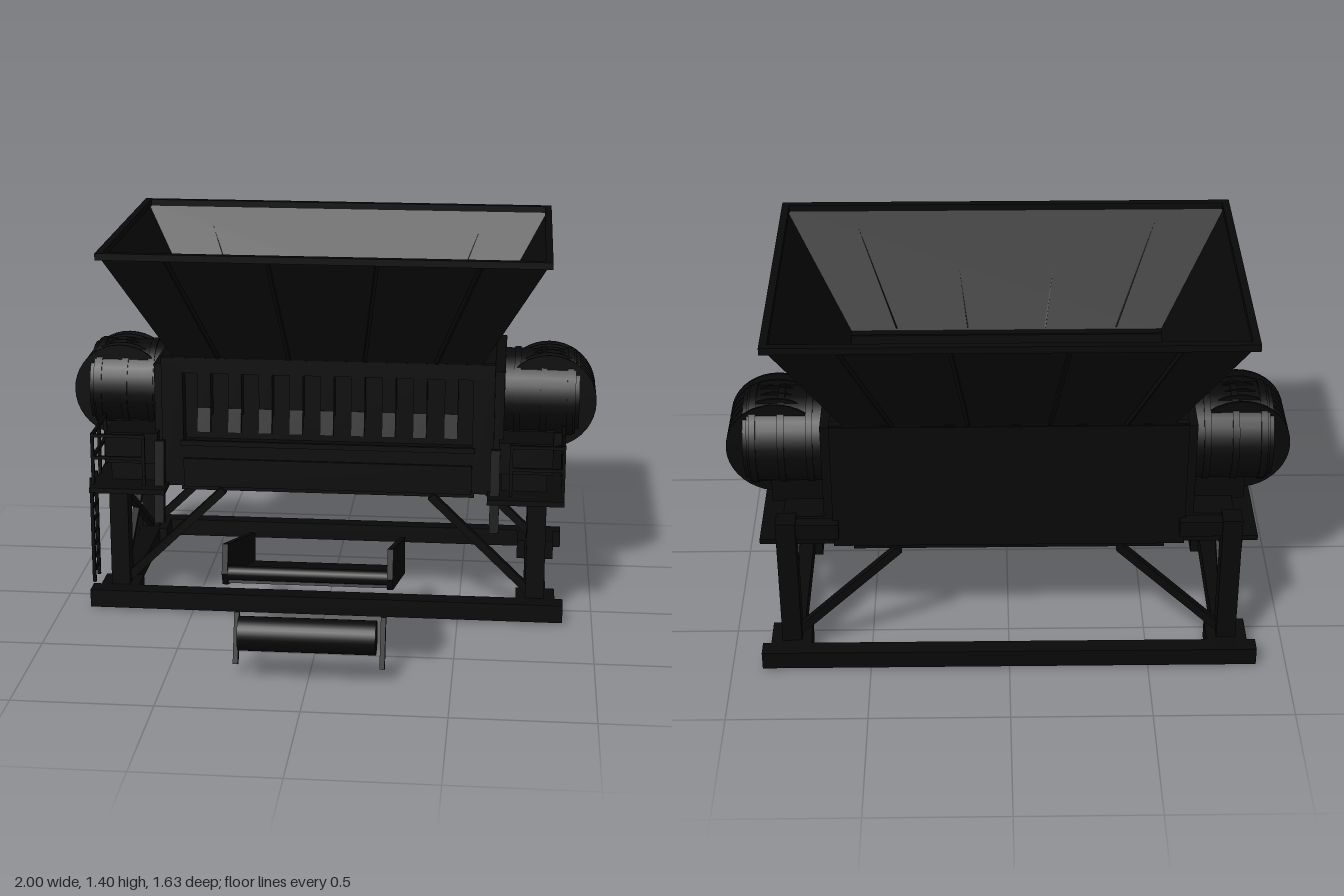
import * as THREE from 'three';

const black = new THREE.MeshStandardMaterial({ color: 0x090909, side: THREE.DoubleSide });
black.name = 'black';
const MID_Z = -0.285; // centre line of the machine body

export function createModel() {
  const model = new THREE.Group();
  const add = (name, geo, parent = model) => {
    const m = new THREE.Mesh(geo, black);
    m.name = name;
    parent.add(m);
    return m;
  };
  // box from its limits on each axis
  const box = (name, x0, x1, y0, y1, z0, z1, parent) => {
    const m = add(name, new THREE.BoxGeometry(x1 - x0, y1 - y0, z1 - z0), parent);
    m.position.set((x0 + x1) / 2, (y0 + y1) / 2, (z0 + z1) / 2);
    return m;
  };
  // rectangular bar between two points
  const bar = (name, a, b, w, d = w, parent = model) => {
    const p = new THREE.Vector3(...a), q = new THREE.Vector3(...b);
    const m = add(name, new THREE.BoxGeometry(w, d, p.distanceTo(q)), parent);
    m.position.copy(p).add(q).multiplyScalar(0.5);
    m.lookAt(q);
    return m;
  };
  // cylinder lying along x
  const rod = (name, x0, x1, r, y, z, parent, sides = 32) => {
    const m = add(name, new THREE.CylinderGeometry(r, r, x1 - x0, sides), parent);
    m.rotation.z = Math.PI / 2;
    m.position.set((x0 + x1) / 2, y, z);
    return m;
  };

  // Hopper: open four-sided funnel
  const funnel = new THREE.CylinderGeometry(Math.SQRT2, Math.SQRT2, 0.43, 4, 1, true).rotateY(Math.PI / 4).toNonIndexed();
  const pos = funnel.attributes.position;
  for (let i = 0; i < pos.count; i++) {
    const top = pos.getY(i) > 0;
    pos.setX(i, pos.getX(i) * (top ? 0.805 : 0.565));
    pos.setZ(i, pos.getZ(i) * (top ? 0.51 : 0.32) + (top ? -0.29 : MID_Z));
  }
  funnel.computeVertexNormals();
  add('hopper', funnel).position.y = 1.175;
  for (const s of [-1, 1]) {
    box('hopperRimLong', -0.815, 0.815, 1.375, 1.4, -0.29 + s * 0.512 - 0.013, -0.29 + s * 0.512 + 0.013);
    box('hopperRimShort', s * 0.802 - 0.013, s * 0.802 + 0.013, 1.375, 1.4, -0.8, 0.22);
  }
  for (const t of [-0.72, -0.25, 0.25, 0.72]) {
    bar('hopperRib', [t * 0.56, 0.975, 0.048], [t * 0.78, 1.375, 0.223], 0.012, 0.012);
    bar('hopperRib', [t * 0.56, 0.975, -0.618], [t * 0.78, 1.375, -0.803], 0.012, 0.012);
  }

  // Cutting chamber with a recessed front window
  box('chamberBase', -0.55, 0.55, 0.455, 0.64, -0.61, 0.035);
  box('chamber', -0.62, 0.62, 0.47, 0.965, -0.615, -0.03);
  box('windowHeader', -0.62, 0.62, 0.91, 0.965, -0.03, 0.035);
  box('windowSill', -0.55, 0.55, 0.63, 0.65, 0.03, 0.045);
  box('frontApron', -0.54, 0.54, 0.47, 0.58, 0.035, 0.045);
  for (const s of [-1, 1]) {
    box('windowJamb', s * 0.58 - 0.04, s * 0.58 + 0.04, 0.47, 0.965, -0.03, 0.035);
    box('topFlange', -0.62, 0.62, 0.955, 0.97, MID_Z + s * 0.31 - 0.015, MID_Z + s * 0.31 + 0.015);
  }
  // row of hooked cleaning teeth in the window
  for (let i = 0; i < 9; i++) {
    const x = -0.46 + i * 0.115;
    box('toothPlate', x - 0.025, x + 0.025, 0.74, 0.91, -0.03, 0.03);
    bar('toothTip', [x, 0.775, 0.022], [x, 0.685, 0.043], 0.05, 0.03);
  }

  // Drives, platforms and supports: one set for each end
  for (const s of [-1, 1]) {
    const end = new THREE.Group();
    end.name = s < 0 ? 'rightDrive' : 'leftDrive';
    model.add(end);
    const sbox = (n, x0, x1, ...rest) => box(n, Math.min(s * x0, s * x1), Math.max(s * x0, s * x1), ...rest, end);
    const srod = (n, x0, x1, ...rest) => rod(n, Math.min(s * x0, s * x1), Math.max(s * x0, s * x1), ...rest, end);
    const sbar = (n, a, b, w, d) => bar(n, [s * a[0], a[1], a[2]], [s * b[0], b[1], b[2]], w, d, end);

    sbox('endPanel', 0.62, 0.655, 0.53, 0.93, -0.56, -0.015);
    srod('driveHousing', 0.65, 0.92, 0.172, 0.765, -0.33);
    srod('driveCap', 0.92, 0.935, 0.16, 0.765, -0.33);
    for (const x of [0.7, 0.8, 0.9]) srod('housingRing', x - 0.012, x + 0.012, 0.177, 0.765, -0.33);
    for (let i = 0; i < 6; i++) {
      const fin = add('coolingFin', new THREE.CylinderGeometry(0.18, 0.18, 0.008, 40), end);
      fin.rotation.x = Math.PI / 2;
      fin.position.set(s * 0.82, 0.765, -0.43 + i * 0.043);
    }
    sbox('driveMount', 0.64, 0.845, 0.55, 0.8, -0.45, -0.2);
    sbox('driveMountFoot', 0.64, 0.8, 0.48, 0.56, -0.56, -0.12);
    sbox('gearBox', 0.64, 0.84, 0.55, 0.67, -0.13, 0.03);
    sbox('gearBoxFoot', 0.65, 0.82, 0.48, 0.55, -0.12, 0.02);
    sbar('chuteArm', [0.627, 0.65, 0.05], [0.627, 0.34, 0.09], 0.035);

    // Platform and guard rail
    sbox('platform', 0.6, 0.885, 0.462, 0.482, -0.59, 0.135);
    for (const z of [0.08, -0.05, -0.175]) sbox('railPost', 0.873, 0.885, 0.48, 0.68, z - 0.006, z + 0.006);
    sbox('railPost', 0.68, 0.692, 0.48, 0.68, 0.074, 0.086);
    for (const y of [0.585, 0.672]) {
      sbox('sideRail', 0.873, 0.885, y - 0.006, y + 0.006, -0.18, 0.086);
      sbox('frontRail', 0.68, 0.885, y - 0.006, y + 0.006, 0.074, 0.086);
    }

    // Columns, feet and bracing
    sbox('frontColumn', 0.75, 0.82, 0.05, 0.47, 0.005, 0.08);
    sbox('backColumn', 0.75, 0.82, 0.05, 0.59, -0.655, -0.58);
    sbox('backColumnBracket', 0.6, 0.76, 0.52, 0.58, -0.645, -0.6);
    for (const z of [0.04, -0.615]) {
      sbox('footPlate', 0.715, 0.86, 0.003, 0.08, z - 0.065, z + 0.065);
      sbar('frameBrace', [0.77, 0.09, z], [0.39, 0.46, z], 0.03);
    }
    sbar('crossBrace', [0.785, 0.09, 0.01], [0.785, 0.45, -0.59], 0.025);
    sbar('crossBrace', [0.785, 0.45, 0.01], [0.785, 0.09, -0.59], 0.025);
    sbox('sideBeam', 0.745, 0.825, 0.012, 0.08, -0.72, 0.14);
  }
  box('frontBeam', -0.89, 0.89, 0.012, 0.08, 0.08, 0.15);
  box('backBeam', -0.89, 0.89, 0.012, 0.08, -0.73, -0.67);

  // Ladder
  for (const z of [0.01, -0.075]) box('ladderRail', -0.908, -0.895, 0.06, 0.48, z - 0.006, z + 0.006);
  for (let i = 0; i < 8; i++) box('ladderRung', -0.906, -0.897, 0.1 + i * 0.05, 0.11 + i * 0.05, -0.075, 0.01);

  // Discharge conveyor: sloping trough
  const side = new THREE.Shape([[0.02, 0.14], [0.02, 0.285], [0.735, 0.5], [0.765, 0.4], [0.745, 0.355]].map(p => new THREE.Vector2(...p)));
  for (const x of [-0.295, 0.275]) {
    const g = new THREE.ExtrudeGeometry(side, { depth: 0.02, bevelEnabled: false });
    g.rotateY(-Math.PI / 2).translate(0.02, 0, 0); // profile runs along z
    add('conveyorSide', g).position.x = x;
  }
  bar('conveyorBelt', [0, 0.155, 0.02], [0, 0.375, 0.74], 0.55, 0.03);
  rod('conveyorHeadRoller', -0.275, 0.275, 0.025, 0.395, 0.735, model, 20);

  // Loose tail roller with its two end plates
  rod('tailRoller', -0.24, 0.24, 0.06, 0.18, 0.757);
  for (const x of [-0.258, 0.258]) bar('rollerStand', [x, 0.045, 0.715], [x, 0.218, 0.657], 0.018, 0.025);

  return model;
}
